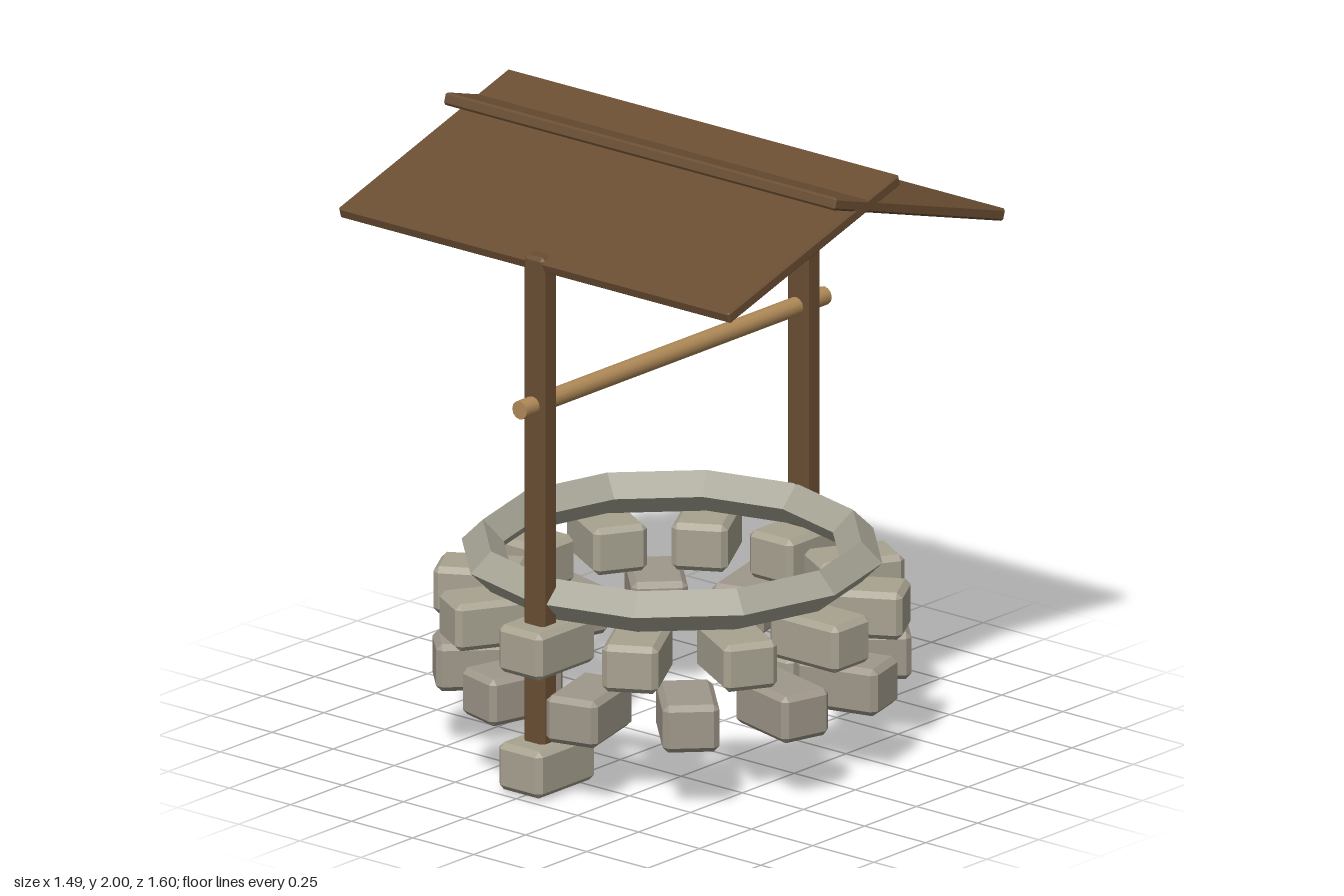
import * as THREE from 'three';
import { ConvexGeometry } from 'three/addons/geometries/ConvexGeometry.js';

// Box with every edge cut by a flat chamfer
function chamferBox(w, h, d, c) {
  const half = [w / 2, h / 2, d / 2];
  const points = [];
  for (const sx of [-1, 1]) for (const sy of [-1, 1]) for (const sz of [-1, 1]) {
    for (let full = 0; full < 3; full++) {
      const p = half.map((v, i) => (i === full ? v : v - c));
      points.push(new THREE.Vector3(p[0] * sx, p[1] * sy, p[2] * sz));
    }
  }
  return new ConvexGeometry(points);
}

function material(name, color) {
  const m = new THREE.MeshStandardMaterial({ color });
  m.name = name;
  return m;
}

export function createModel() {
  const model = new THREE.Group();
  model.name = 'well';
  const stone = material('stone', 0xa8a290);
  const brownStone = material('brownStone', 0x9f978a);
  const rimStone = material('rimStone', 0xa6a495);
  const darkWood = material('darkWood', 0x6a4e33);
  const lightWood = material('lightWood', 0xb08a58);

  const add = (name, geometry, mat, x = 0, y = 0, z = 0, parent = model) => {
    const mesh = new THREE.Mesh(geometry, mat);
    mesh.name = name;
    mesh.position.set(x, y, z);
    parent.add(mesh);
    return mesh;
  };

  // Courses of radial blocks; the lowest has only the two post footings
  const block = chamferBox(0.28, 0.155, 0.178, 0.018);
  const courses = [
    { name: 'footingBlocks', y: 0.0875, count: 2, offset: 0, mat: stone },
    { name: 'lowerCourse', y: 0.2825, count: 12, offset: Math.PI / 12, mat: brownStone },
    { name: 'upperCourse', y: 0.475, count: 12, offset: 0, mat: stone },
  ];
  for (const { name, y, count, offset, mat } of courses) {
    const course = new THREE.Group();
    course.name = name;
    model.add(course);
    for (let i = 0; i < count; i++) {
      const a = offset + (i / count) * Math.PI * 2;
      const b = add('block', block, mat, 0.604 * Math.cos(a), y, -0.604 * Math.sin(a), course);
      b.rotation.y = a;
    }
  }

  // Faceted rim with a diamond cross-section
  const rim = new THREE.TorusGeometry(0.6, 0.067, 4, 12).rotateX(Math.PI / 2).toNonIndexed();
  rim.computeVertexNormals();
  add('rim', rim, rimStone, 0, 0.623, 0);

  // Posts and crossing roof boards, mirrored left and right
  const post = chamferBox(0.075, 1.765, 0.085, 0.012);
  const board = chamferBox(0.86, 0.04, 1.6, 0.007);
  for (const [side, s] of [['left', 1], ['right', -1]]) {
    add(side + 'Post', post, darkWood, s * 0.635, 0.8825, 0);
    const roof = add(side + 'RoofBoard', board, darkWood, s * 0.253, 1.856, 0);
    roof.rotation.z = -s * 0.292;
  }

  // Winding rod between the posts
  const rod = new THREE.CylinderGeometry(0.03, 0.03, 1.47, 12).rotateZ(Math.PI / 2);
  add('windingRod', rod, lightWood, 0, 1.275, 0);

  return model;
}
